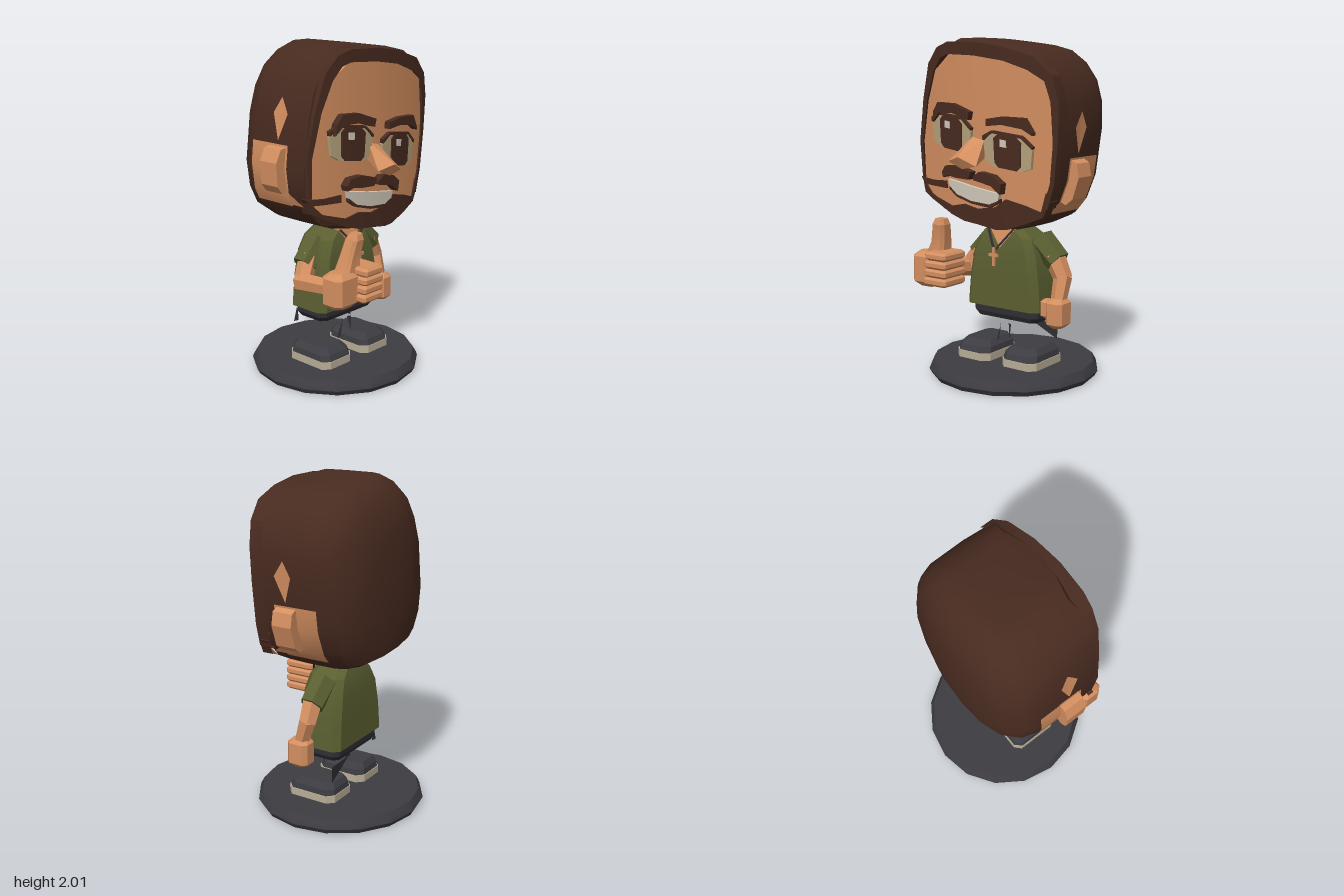
import * as THREE from 'three';
import { toCreasedNormals } from 'three/addons/utils/BufferGeometryUtils.js';
import { ConvexGeometry } from 'three/addons/geometries/ConvexGeometry.js';

const mat = (name, color) => Object.assign(new THREE.MeshStandardMaterial({ color }), { name });
const skin = mat('skin', 0xd48f60), hair = mat('hair', 0x482b20), shirt = mat('shirt', 0x5a5e30),
  dark = mat('trousers', 0x2e2e34), slate = mat('slate', 0x3c3c42), sole = mat('sole', 0xb9ad97),
  eyeWhite = mat('eyeWhite', 0xb5a27c), ivory = mat('ivory', 0xd2c9ba);

const v3 = (x, y, z) => new THREE.Vector3(x, y, z);

function add(parent, name, geo, material, crease = 0.35) {
  const mesh = new THREE.Mesh(toCreasedNormals(geo, crease), material);
  mesh.name = name;
  parent.add(mesh);
  return mesh;
}

function fromTriangles(tris) {
  const g = new THREE.BufferGeometry();
  g.setAttribute('position', new THREE.Float32BufferAttribute(tris.flat(), 3));
  g.computeVertexNormals();
  return g;
}

// Closed skin over rings of [x, y, z] points stacked upward
function loft(rings) {
  const t = [], n = rings[0].length;
  const centre = r => [0, 1, 2].map(k => r.reduce((s, p) => s + p[k], 0) / n);
  for (let i = 0; i < n; i++) {
    const j = (i + 1) % n;
    for (let k = 0; k + 1 < rings.length; k++) {
      const a = rings[k], b = rings[k + 1];
      t.push(a[i], a[j], b[j], a[i], b[j], b[i]);
    }
    const bot = rings[0], top = rings[rings.length - 1];
    t.push(bot[j], bot[i], centre(bot), top[i], top[j], centre(top));
  }
  return fromTriangles(t);
}

// Rectangle ring with cut corners
function ring(y, cx, cz, w, d, c) {
  const q = [[w - c, d], [w, d - c], [w, c - d], [w - c, -d], [c - w, -d], [-w, c - d], [-w, d - c], [c - w, d]];
  return q.map(([x, z]) => [cx + x, y, cz + z]);
}

// Front surface of the face
const faceZ = (x, y) => 0.335 - 0.03 * (1.95 - y) - 0.25 * (x - 0.03) ** 2;

// Slab between an upper and a lower line (both left to right) laid over a surface
function slab(upper, lower, front, back, zAt = faceZ) {
  const t = [], f = p => [p[0], p[1], zAt(...p) + front], b = p => [p[0], p[1], zAt(...p) + back];
  for (let i = 0; i + 1 < upper.length; i++) {
    const [u, w, l, m] = [upper[i], upper[i + 1], lower[i], lower[i + 1]];
    t.push(f(u), f(l), f(m), f(u), f(m), f(w));
  }
  const loop = [...lower, ...[...upper].reverse()];
  loop.forEach((p, i) => {
    const q = loop[(i + 1) % loop.length];
    t.push(f(p), b(p), b(q), f(p), b(q), f(q));
  });
  return fromTriangles(t);
}

// Tapered straight piece between two points
function limb(a, b, ra, rb, sides = 6) {
  const d = b.clone().sub(a);
  const g = new THREE.CylinderGeometry(rb, ra, d.length(), sides);
  g.applyQuaternion(new THREE.Quaternion().setFromUnitVectors(v3(0, 1, 0), d.normalize()));
  return g.translate((a.x + b.x) / 2, (a.y + b.y) / 2, (a.z + b.z) / 2);
}

// Box with bevelled top and bottom edges
function block(x0, x1, y0, y1, z0, z1, c) {
  const cx = (x0 + x1) / 2, cz = (z0 + z1) / 2, w = (x1 - x0) / 2, d = (z1 - z0) / 2;
  return loft([ring(y0, cx, cz, w - c, d - c, c), ring(y0 + c, cx, cz, w, d, c),
    ring(y1 - c, cx, cz, w, d, c), ring(y1, cx, cz, w - c, d - c, c)]);
}

// Head levels: height, half width, front, back
const levels = [[-0.515, 0.2, 0.27, 0.17], [-0.495, 0.29, 0.28, 0.25], [-0.43, 0.39, 0.285, 0.355], [-0.33, 0.455, 0.29, 0.37],
  [-0.18, 0.495, 0.3, 0.378], [0.1, 0.5, 0.31, 0.375], [0.25, 0.485, 0.315, 0.355], [0.37, 0.44, 0.32, 0.33],
  [0.46, 0.37, 0.32, 0.28], [0.52, 0.28, 0.29, 0.22], [0.535, 0.2, 0.2, 0.16]];
function widthAt(y) {
  const i = Math.max(1, levels.findIndex(l => l[0] >= y)), [a, b] = [levels[i - 1], levels[i]];
  return a[1] + (b[1] - a[1]) * (y - a[0]) / (b[0] - a[0]);
}

function buildHead() {
  const head = new THREE.Group();
  head.name = 'head';
  const tilted = new THREE.Group();
  tilted.name = 'skullAndEars';
  tilted.position.set(0.02, 1.45, 0);
  tilted.rotation.z = -0.13;
  head.add(tilted);
  const half = [[0, 1], [0.5, 0.96], [0.97, 0.82], [1, 0.3], [0.99, -0.4], [0.92, -0.65], [0.73, -0.86], [0.38, -0.97], [0, -1]];
  const outline = [...half, ...half.slice(1, -1).reverse().map(([u, v]) => [-u, v])];
  add(tilted, 'hair', loft(levels.map(([y, w, f, b]) => outline.map(([u, v]) => [u * w, y, v * (v > 0 ? f : b)]))), hair, 0.6);

  // Ears, and the skin showing around them
  for (const s of [1, -1]) {
    const pts = [[0.44, -0.3], [0.5, -0.32], [0.54, -0.28], [0.565, -0.15], [0.54, -0.075], [0.5, -0.06], [0.45, -0.09]];
    const ear = new THREE.ExtrudeGeometry(new THREE.Shape(pts.map(([x, y]) => new THREE.Vector2(s * x, y))), { depth: 0.13, bevelEnabled: false });
    add(tilted, 'ear', ear.translate(0, 0, -0.015), skin);
    const side = (z, y) => [s * (widthAt(y) + 0.006), y, z];
    const t = [];
    const tri = (a, b, c) => s > 0 ? t.push(a, b, c) : t.push(a, c, b);
    const ys = [-0.39, -0.33, -0.18, -0.05];
    ys.slice(1).forEach((y, i) => {
      const a = side(0.13, ys[i]), b = side(-0.15, ys[i]), c = side(-0.15, y), d = side(0.13, y);
      tri(a, b, c); tri(a, c, d);
    });
    const [d0, d1, d2, d3] = [side(0.05, -0.03), side(0, 0.12), side(0.05, 0.21), side(0.11, 0.12)];
    tri(d0, d1, d2); tri(d0, d2, d3);
    const [e0, e1, e2] = [side(0.22, -0.38), side(0.12, -0.38), side(0.12, -0.31)];
    tri(e0, e1, e2);
    add(tilted, 'sideSkin', fromTriangles(t), skin);
  }

  // Face plate and the hair edge framing it
  const xs = [-0.45, -0.4, -0.32, -0.2, 0, 0.2, 0.35, 0.45, 0.5];
  const top = [1.4, 1.62, 1.82, 1.91, 1.9, 1.87, 1.82, 1.76, 1.5], low = [1.15, 1.1, 1.06, 1, 0.96, 0.95, 0.98, 1.06, 1.2];
  add(head, 'face', slab(xs.map((x, i) => [x, top[i]]), xs.map((x, i) => [x, low[i]]), 0, -0.05), skin, 0.6);
  add(head, 'hairline', slab(
    [[-0.46, 1.18], [-0.475, 1.4], [-0.43, 1.65], [-0.37, 1.86], [-0.29, 1.95], [-0.2, 1.98], [0, 1.975], [0.2, 1.945], [0.39, 1.89], [0.495, 1.79], [0.53, 1.65], [0.525, 1.45], [0.5, 1.2], [0.46, 1.06]],
    [[-0.44, 1.18], [-0.445, 1.4], [-0.39, 1.65], [-0.32, 1.82], [-0.26, 1.89], [-0.2, 1.91], [0, 1.9], [0.2, 1.87], [0.35, 1.82], [0.45, 1.76], [0.485, 1.65], [0.495, 1.42], [0.475, 1.2], [0.43, 1.06]],
    0.012, -0.07), hair, 0.5);

  // Beard, moustache and mouth
  add(head, 'beard', slab(
    [[-0.46, 1.17], [-0.37, 1.08], [-0.2, 1.03], [-0.1, 1.05], [0, 1.03], [0.13, 1.05], [0.2, 1.1], [0.33, 1.07], [0.42, 1.04], [0.45, 1.15]],
    [[-0.44, 1.09], [-0.37, 1.055], [-0.2, 0.98], [-0.1, 0.95], [0, 0.94], [0.13, 0.92], [0.2, 0.925], [0.33, 0.97], [0.43, 1.01], [0.475, 1.1]],
    0.01, -0.06), hair);
  add(head, 'cheekBeard', slab([[-0.48, 1.18], [-0.36, 1.17], [-0.24, 1.175]], [[-0.44, 1.14], [-0.36, 1.135], [-0.24, 1.13]], 0.008, -0.03), hair);
  add(head, 'moustache', slab([[-0.24, 1.23], [-0.21, 1.27], [-0.12, 1.275], [-0.01, 1.245]], [[-0.23, 1.2], [-0.19, 1.215], [-0.13, 1.205], [-0.03, 1.2]], 0.05, 0), hair);
  add(head, 'moustache', slab([[0.01, 1.225], [0.05, 1.25], [0.14, 1.235], [0.2, 1.19]], [[0.01, 1.2], [0.06, 1.19], [0.13, 1.175], [0.19, 1.13]], 0.05, 0), hair);
  add(head, 'teeth', slab([[-0.21, 1.19], [-0.14, 1.18], [-0.03, 1.16], [0.1, 1.14], [0.17, 1.13]], [[-0.2, 1.15], [-0.14, 1.105], [-0.03, 1.075], [0.1, 1.065], [0.16, 1.09]], 0.025, 0), ivory);
  add(head, 'lip', slab([[-0.2, 1.15], [-0.14, 1.105], [-0.03, 1.075], [0.1, 1.065], [0.17, 1.1]], [[-0.2, 1.13], [-0.14, 1.09], [-0.03, 1.06], [0.1, 1.045], [0.17, 1.08]], 0.025, 0), hair);

  // Eyebrows
  add(head, 'eyebrow', slab([[-0.31, 1.585], [-0.27, 1.635], [-0.15, 1.63], [-0.02, 1.585]], [[-0.32, 1.52], [-0.26, 1.575], [-0.15, 1.575], [-0.03, 1.54]], 0.04, 0), hair);
  add(head, 'eyebrow', slab([[0.1, 1.55], [0.2, 1.565], [0.34, 1.56], [0.39, 1.48]], [[0.1, 1.51], [0.2, 1.52], [0.33, 1.5], [0.39, 1.465]], 0.04, 0), hair);

  // Eyes: white, lash, iris and glint, drawn around each eye's centre
  for (const [cx, cy, s] of [[-0.18, 1.455, 1], [0.225, 1.383, -1]]) {
    const at = pts => pts.map(([x, y]) => [cx + x, cy + y - 0.13 * x + s * 0.01]);
    add(head, 'eyeWhite', slab(at([[-0.16, 0.03], [-0.1, 0.09], [0.09, 0.09], [0.155, 0.03]]), at([[-0.145, -0.075], [-0.09, -0.1], [0.09, -0.1], [0.145, -0.075]]), 0.02, -0.01), eyeWhite);
    add(head, 'eyelash', slab(at([[-0.165, 0.06], [-0.1, 0.1], [0.09, 0.1], [0.16, 0.05]]), at([[-0.16, 0.035], [-0.1, 0.085], [0.09, 0.085], [0.155, 0.035]]), 0.026, 0), hair);
    add(head, 'iris', slab(at([[-0.085, 0.06], [-0.06, 0.085], [0.06, 0.085], [0.09, 0.06]]), at([[-0.08, -0.075], [-0.055, -0.1], [0.06, -0.1], [0.085, -0.075]]), 0.028, 0.01), hair);
    add(head, 'glint', slab(at([[-0.04, 0.06], [0, 0.06]]), at([[-0.04, 0.02], [0, 0.02]]), 0.034, 0.026), ivory);
  }

  // Nose
  add(head, 'nose', new ConvexGeometry([v3(-0.03, 1.45, 0.31), v3(0.05, 1.43, 0.31), v3(-0.1, 1.31, 0.45), v3(0.1, 1.29, 0.45),
    v3(0, 1.34, 0.485), v3(0, 1.27, 0.45), v3(-0.03, 1.35, 0.3), v3(0.05, 1.33, 0.3)]), skin, 0.1);
  return head;
}

export function createModel() {
  const model = new THREE.Group();
  model.name = 'thumbsUpFigure';
  model.add(buildHead());

  // Round stand
  const stand = new THREE.LatheGeometry([[0, 0], [0.5, 0], [0.517, 0.03], [0.51, 0.05], [0.49, 0.085], [0, 0.085]].map(p => new THREE.Vector2(...p)), 16);
  add(model, 'stand', stand.translate(0.03, 0, 0), slate);

  // Shoes
  for (const x of [-0.145, 0.195]) {
    add(model, 'shoeSole', loft([ring(0.08, x, 0.045, 0.125, 0.165, 0.04), ring(0.13, x, 0.045, 0.125, 0.165, 0.04)]), sole);
    add(model, 'shoe', loft([ring(0.13, x, 0.045, 0.12, 0.16, 0.04), ring(0.165, x, 0.04, 0.115, 0.15, 0.04), ring(0.2, x, 0.03, 0.085, 0.12, 0.03)]), slate);
  }

  // Trousers: hips and torn leg pieces, each seen from both sides
  add(model, 'hips', loft([ring(0.34, 0.035, -0.005, 0.215, 0.105, 0.03), ring(0.37, 0.035, -0.005, 0.235, 0.12, 0.03), ring(0.43, 0.035, -0.005, 0.235, 0.12, 0.03)]), dark);
  const shreds = [
    [[-0.2, 0.41, -0.1], [-0.23, 0.31, -0.1], [-0.2, 0.31, -0.09]], [[0, 0.31, 0.09], [-0.04, 0.19, 0.08], [-0.015, 0.2, 0.09]],
    [[0.05, 0.31, 0.08], [0.07, 0.21, 0.1], [0.075, 0.31, 0.09]], [[0.08, 0.31, -0.09], [0.28, 0.21, -0.1], [0.285, 0.31, -0.1]],
    [[0.08, 0.36, -0.1], [0.08, 0.31, -0.1], [0.25, 0.36, -0.09]]];
  add(model, 'legShreds', fromTriangles(shreds.flatMap(([a, b, c]) => [a, b, c, a, c, b])), dark);

  // Shirt with sleeves, neck and open collar
  add(model, 'shirt', loft([[0.415, 0.265, 0.145], [0.6, 0.25, 0.142], [0.75, 0.225, 0.135], [0.84, 0.185, 0.12], [0.895, 0.11, 0.1]]
    .map(([y, w, d]) => ring(y, 0.03, 0, w, d, 0.04))), shirt);
  add(model, 'leftSleeve', limb(v3(0.22, 0.83, -0.01), v3(0.35, 0.71, -0.005), 0.08, 0.075), shirt);
  add(model, 'rightSleeve', limb(v3(-0.11, 0.82, -0.01), v3(-0.23, 0.69, -0.005), 0.08, 0.08), shirt);
  add(model, 'neck', limb(v3(0.03, 0.82, -0.005), v3(0.03, 1, -0.005), 0.105, 0.1, 10), skin);
  const chestZ = (x, y) => 0.142 - Math.max(0, y - 0.75) * 0.25;
  add(model, 'neckOpening', slab([[-0.06, 0.9], [0.03, 0.9], [0.12, 0.9]], [[-0.06, 0.89], [0.03, 0.78], [0.12, 0.89]], 0.008, -0.03, chestZ), skin);

  // Necklace with a small cross
  for (const x of [-0.065, 0.125]) add(model, 'necklace', limb(v3(x, 0.9, 0.13), v3(0.03, 0.77, 0.195), 0.008, 0.008, 4), dark);
  add(model, 'crossUpright', new THREE.BoxGeometry(0.018, 0.11, 0.012).translate(0.03, 0.735, 0.2), skin);
  add(model, 'crossBar', new THREE.BoxGeometry(0.065, 0.018, 0.012).translate(0.03, 0.745, 0.2), skin);

  // Lowered left arm and fist
  add(model, 'leftUpperArm', limb(v3(0.32, 0.75, 0), v3(0.39, 0.61, 0), 0.065, 0.055), skin);
  add(model, 'leftForearm', limb(v3(0.385, 0.63, 0), v3(0.385, 0.47, 0.05), 0.055, 0.045), skin);
  add(model, 'leftHand', block(0.33, 0.445, 0.335, 0.51, -0.02, 0.12, 0.025), skin);
  add(model, 'leftThumb', block(0.295, 0.35, 0.39, 0.5, 0.03, 0.115, 0.015), skin);

  // Raised right arm, giving a thumbs up
  add(model, 'rightUpperArm', limb(v3(-0.2, 0.74, 0), v3(-0.29, 0.61, 0.04), 0.06, 0.055), skin);
  add(model, 'rightForearm', limb(v3(-0.29, 0.61, 0.02), v3(-0.32, 0.65, 0.34), 0.06, 0.05), skin);
  add(model, 'rightPalm', block(-0.41, -0.22, 0.55, 0.76, 0.29, 0.44, 0.03), skin);
  for (let i = 0; i < 4; i++) {
    const y = 0.58 + i * 0.05;
    add(model, 'finger', block(-0.265 + 0.005 * i, -0.095, y, y + 0.049, 0.3, 0.5, 0.013), skin);
  }
  add(model, 'thumb', loft([ring(0.72, -0.26, 0.36, 0.07, 0.06, 0.02), ring(0.82, -0.235, 0.36, 0.05, 0.05, 0.018),
    ring(0.93, -0.215, 0.38, 0.045, 0.045, 0.018), ring(0.965, -0.21, 0.385, 0.03, 0.03, 0.01)]), skin);
  return model;
}
